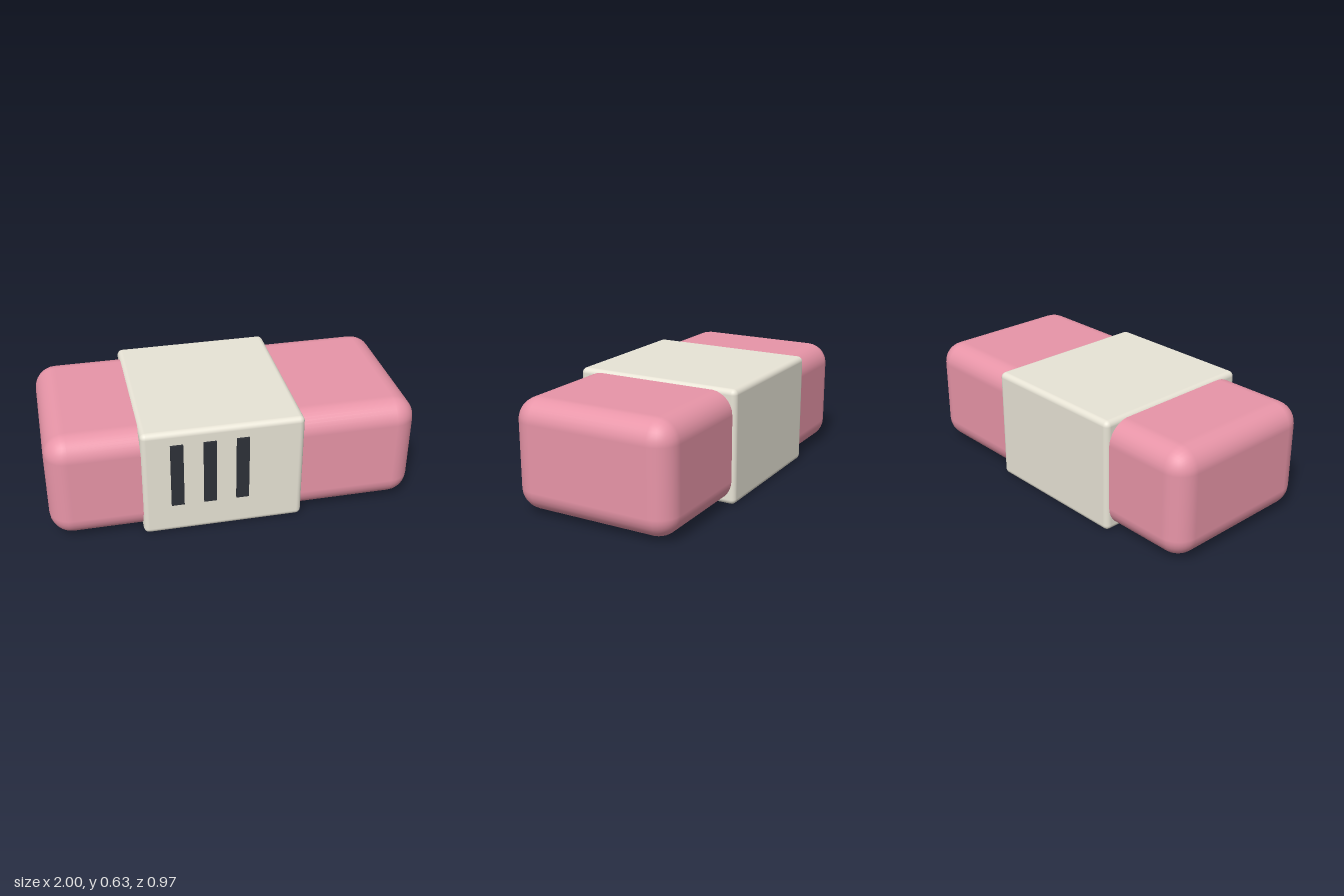
import * as THREE from 'three';
import { RoundedBoxGeometry } from 'three/addons/geometries/RoundedBoxGeometry.js';

export function createModel() {
  const model = new THREE.Group();
  const pink = new THREE.MeshStandardMaterial({ color: 0xe895a8 });
  const cream = new THREE.MeshStandardMaterial({ color: 0xe8e4d6 });
  const dark = new THREE.MeshStandardMaterial({ color: 0x2e3138 });

  const add = (name, geometry, material, x, y, z) => {
    const mesh = new THREE.Mesh(geometry, material);
    mesh.name = name;
    mesh.position.set(x, y, z);
    model.add(mesh);
  };

  // Soft rounded block
  add('eraserBlock', new RoundedBoxGeometry(2, 0.6, 0.925, 4, 0.12), pink, 0, 0.314, -0.006);

  // Wrapped sleeve, slightly off centre
  add('sleeve', new RoundedBoxGeometry(0.87, 0.628, 0.962, 4, 0.03), cream, -0.077, 0.314, -0.006);

  // Three raised stripes on the front of the sleeve
  for (let i = 0; i < 3; i++) {
    add(`stripe${i + 1}`, new THREE.BoxGeometry(0.068, 0.374, 0.024), dark, -0.327 + i * 0.175, 0.366, 0.475);
  }
  return model;
}
